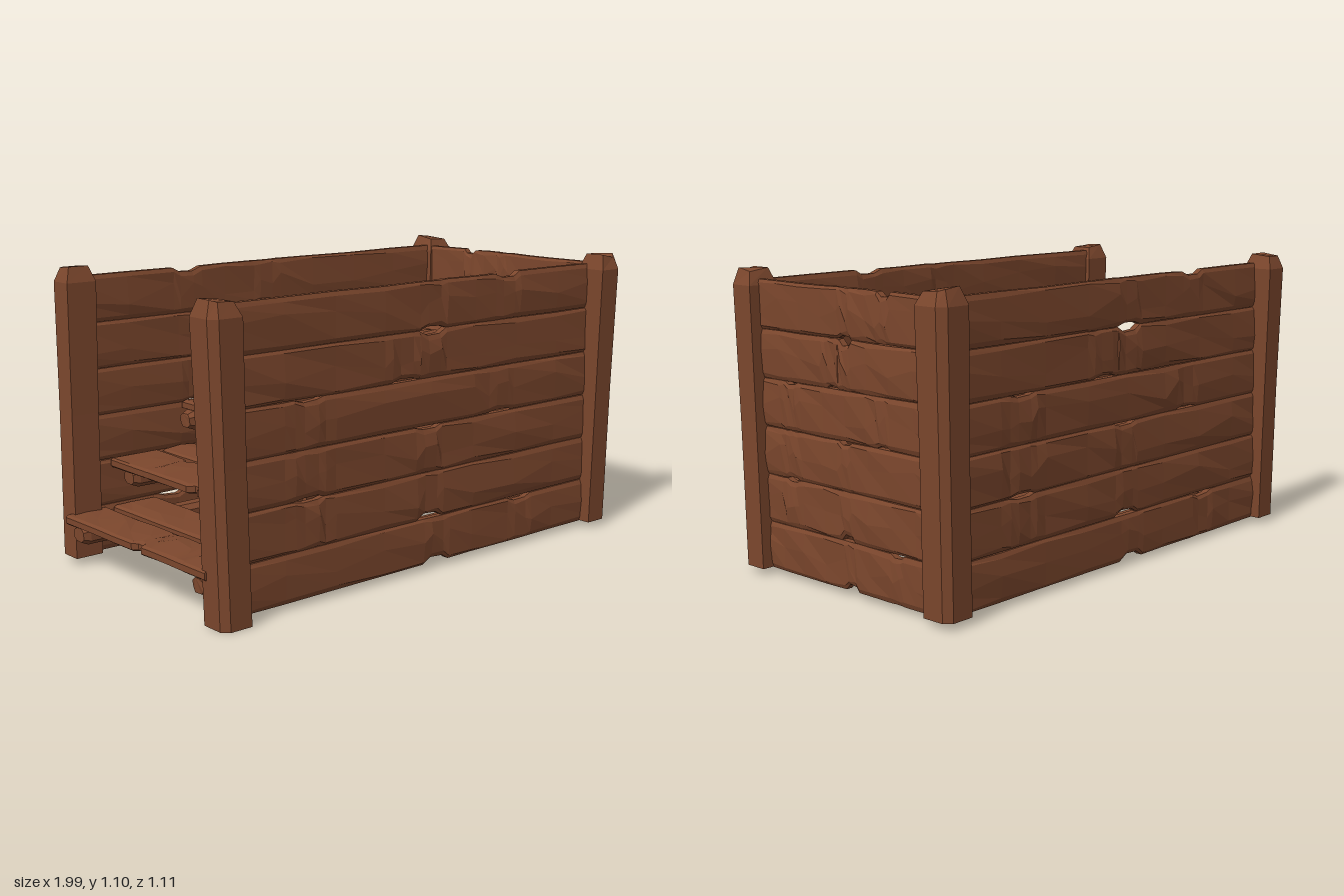
import * as THREE from 'three';

const wood = new THREE.MeshStandardMaterial({ color: 0x7c472d, flatShading: true });
wood.name = 'brown wood';

// Small seeded generator for hand-hewn irregularity
let seed = 7;
function jitter(amount) {
  seed = (seed * 16807) % 2147483647;
  return (seed / 2147483647 - 0.5) * 2 * amount;
}

// Skin a list of equal-sized rings [x, y, z][], counterclockwise about the path, with end caps
function loft(rings, name) {
  const n = rings[0].length;
  const index = [];
  for (let i = 0; i < rings.length - 1; i++) {
    for (let j = 0; j < n; j++) {
      const k = (j + 1) % n;
      const a = i * n + j, b = i * n + k, c = b + n, d = a + n;
      index.push(a, b, c, a, c, d);
    }
  }
  const last = (rings.length - 1) * n;
  for (let j = 1; j < n - 1; j++) {
    index.push(0, j + 1, j, last, last + j, last + j + 1);
  }
  let geometry = new THREE.BufferGeometry();
  geometry.setAttribute('position', new THREE.Float32BufferAttribute(rings.flat(2), 3));
  geometry.setIndex(index);
  geometry = geometry.toNonIndexed();
  geometry.computeVertexNormals();
  const mesh = new THREE.Mesh(geometry, wood);
  mesh.name = name;
  return mesh;
}

// Board along x, width in y, thickness in z.
// Notches are [position -1..1, edge +1 upper or -1 lower, depth].
function plank(name, length, width, thick, notches = []) {
  const half = length / 2, w = width / 2, t = thick / 2;
  const scale = half / 0.89;
  const stations = [];
  for (const [s, edge, depth] of notches) {
    for (const [dx, f] of [[-0.07, 0], [-0.03, 1], [0.03, 0.85], [0.06, 0]]) {
      stations.push({ x: s * half + dx * scale, edge, cut: depth * f });
    }
  }
  for (let i = 0; i <= 8; i++) {
    const x = -half + (length * i) / 8;
    const clear = notches.every(([s]) => Math.abs(s * half - x) > 0.09 * scale);
    if (clear) stations.push({ x, edge: 0, cut: 0 });
  }
  stations.sort((a, b) => a.x - b.x);
  const rings = stations.map(({ x, edge, cut }) => {
    const hi = w - (edge > 0 ? cut : 0) + jitter(0.0015);
    const lo = -w + (edge < 0 ? cut : 0) + jitter(0.0015);
    const b = 0.014 + jitter(0.006), c = 0.007;
    const mid = jitter(w * 0.4), bulge = t + 0.003 + jitter(0.006);
    return [
      [hi, t - c], [hi - b, t], [mid, bulge], [lo + b, t], [lo, t - c],
      [lo, c - t], [lo + b, -t], [mid, -bulge], [hi - b, -t], [hi, c - t],
    ].map(([y, z]) => [x, y, z]);
  });
  return loft(rings, name);
}

// Six stacked boards; the same worn spots repeat on every wall
const wallNotches = [
  [[0.05, -1, 0.022], [0.55, 1, 0.014]],
  [[0.01, -1, 0.02], [-0.62, 1, 0.008]],
  [[-0.62, -1, 0.008], [0, 1, 0.012]],
  [[0.42, -1, 0.008], [-0.62, 1, 0.01]],
  [[-0.13, -1, 0.012], [0.02, 1, 0.02]],
  [[0.02, -1, 0.012], [0.45, 1, 0.018]],
];
function wall(name, length) {
  const group = new THREE.Group();
  group.name = name;
  wallNotches.forEach((notches, i) => {
    const board = plank('wallBoard', length, 0.172, 0.038, notches);
    board.position.y = 0.113 + i * 0.1735;
    group.add(board);
  });
  return group;
}

// Leaning corner post with a chamfered outer corner and hewn top
function post(name, foot, head) {
  const [x0, y0, z0] = foot, [x1, y1, z1] = head;
  const sx = Math.sign(x0), sz = Math.sign(z0);
  const rings = [[0, 0.056], [0.5, 0.056], [0.95, 0.06], [1, 0.04]].map(([t, r]) => {
    const cx = x0 + (x1 - x0) * t, cz = z0 + (z1 - z0) * t, y = y0 + (y1 - y0) * t;
    const c = r * 0.45;
    const ring = [[-r, -r], [-r, r], [r - c, r], [r, r - c], [r, -r]]
      .map(([x, z]) => [cx + sx * x, y + (t === 1 ? jitter(0.01) : 0), cz + sz * z]);
    return sx * sz > 0 ? ring : ring.reverse();
  });
  return loft(rings, name);
}

// Rough level beam along x carrying one step, chamfered at its open end
function joist(x0, x1, y, z) {
  const rings = [[x0, 0.026], [x0 + 0.025, 0.036], [(x0 + x1) / 2, 0.035], [x1, 0.036]].map(([x, r]) => {
    const c = r * 0.5;
    return [[r, -c], [r, c], [c, r], [-c, r], [-r, c], [-r, -c], [-c, -r], [c, -r]]
      .map(([v, w]) => [x + jitter(0.003), y + v, z + w * 1.2]);
  });
  return loft(rings, 'stepJoist');
}

export function createModel() {
  seed = 7;
  const model = new THREE.Group();
  model.name = 'woodenStallWithSteps';

  // Three board walls, open at the stair end
  const front = wall('frontWall', 1.78);
  front.position.z = 0.458;
  const back = wall('backWall', 1.78);
  back.rotation.y = Math.PI;
  back.position.z = -0.466;
  const end = wall('endWall', 0.9);
  end.rotation.y = Math.PI / 2;
  end.position.x = 0.9;
  model.add(front, back, end);

  // Corner posts
  model.add(
    post('frontLeftPost', [0.905, 0.03, 0.465], [0.9, 1.1, 0.497]),
    post('backLeftPost', [0.9, 0.03, -0.465], [0.935, 1.1, -0.485]),
    post('frontRightPost', [-0.9, 0.005, 0.465], [-0.94, 1.085, 0.48]),
    post('backRightPost', [-0.89, 0.03, -0.465], [-0.865, 1.1, -0.5]),
  );

  // Two boards per step, then the platform: [x from, x to, top height, notches]
  const boards = [
    [-0.97, -0.79, 0.2, [[0.08, -1, 0.02], [0.65, 1, 0.02]]],
    [-0.765, -0.57, 0.2, []],
    [-0.77, -0.56, 0.38, [[0.2, -1, 0.025], [-0.5, 1, 0.015]]],
    [-0.54, -0.38, 0.38, [[0.65, -1, 0.02]]],
    [-0.445, -0.265, 0.56, [[0, 1, 0.02], [0.75, -1, 0.015]]],
    [-0.255, -0.1, 0.56, []],
    [-0.14, 0.03, 0.74, [[0.05, 1, 0.02]]],
    [0.033, 0.207, 0.74, [[0.08, -1, 0.02], [0.65, 1, 0.02]]],
    [0.21, 0.38, 0.74, [[-0.42, 1, 0.015], [0.08, 1, 0.025]]],
    [0.384, 0.552, 0.74, [[0.07, -1, 0.015], [0.65, 1, 0.02]]],
    [0.555, 0.73, 0.74, [[0.65, -1, 0.02], [-0.55, 1, 0.02]]],
    [0.733, 0.88, 0.74, [[0.4, -1, 0.012]]],
  ];
  const lieFlat = new THREE.Matrix4().makeBasis(
    new THREE.Vector3(0, 0, 1), new THREE.Vector3(1, 0, 0), new THREE.Vector3(0, 1, 0));
  for (const [a, b, top, notches] of boards) {
    const board = plank(top < 0.6 ? 'stairTread' : 'platformBoard', 0.87, b - a, 0.036, notches);
    board.geometry.applyMatrix4(lieFlat);
    board.position.set((a + b) / 2, top - 0.02, 0);
    board.rotation.x = jitter(0.008);
    model.add(board);
  }

  // A pair of level beams under each step, running to the closed end
  for (const [x, y] of [[-0.95, 0.13], [-0.73, 0.31], [-0.47, 0.49], [-0.225, 0.69]]) {
    for (const z of [-0.38, 0.37]) model.add(joist(x, 0.87, y, z));
  }
  return model;
}
